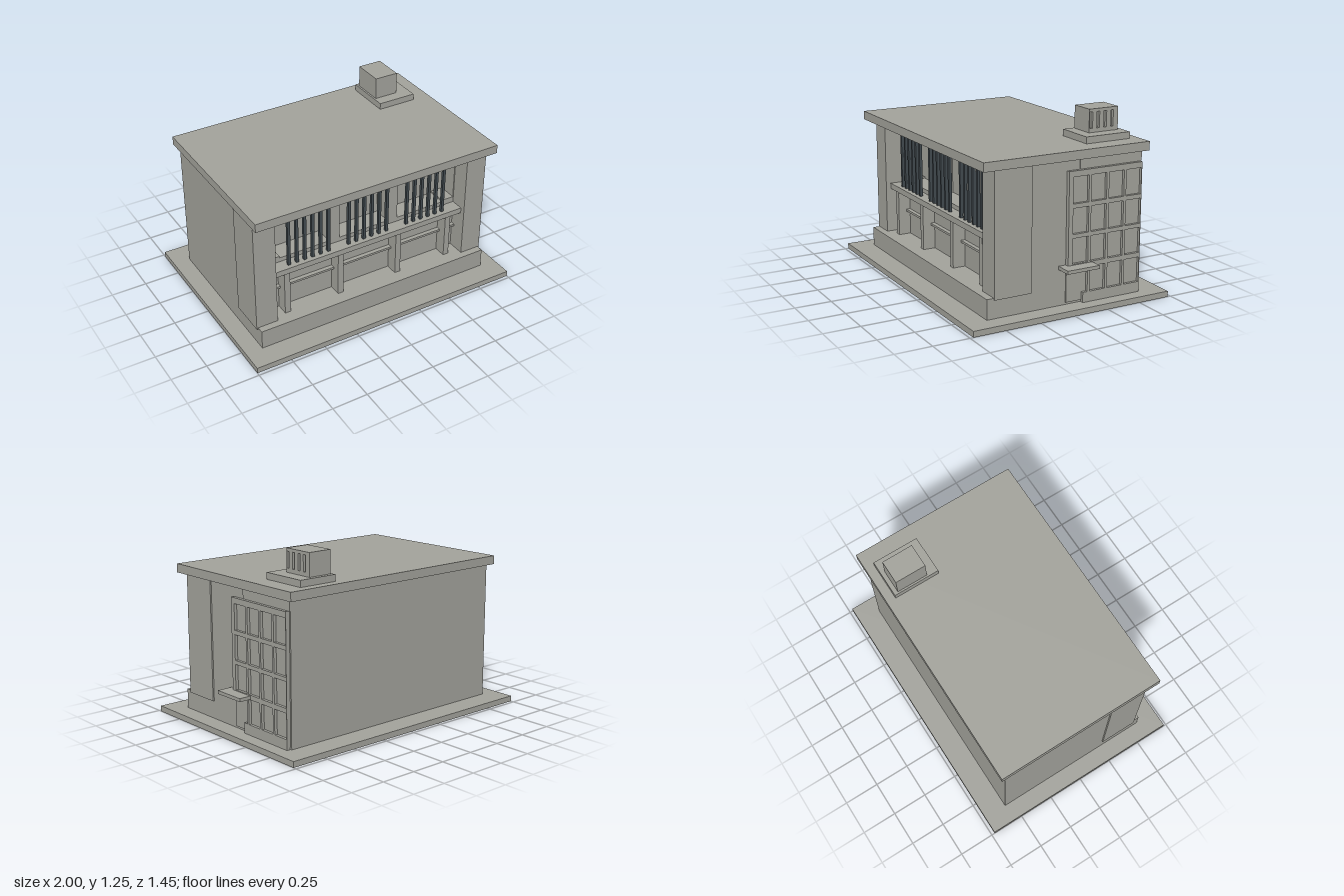
import * as THREE from 'three';

export function createModel() {
  const model = new THREE.Group();
  const stone = new THREE.MeshStandardMaterial({ color: 0xa2a29b });
  stone.name = 'stone grey';
  const iron = new THREE.MeshStandardMaterial({ color: 0x424b50 });
  iron.name = 'dark iron';

  const add = (name, geometry, material = stone) => {
    const mesh = new THREE.Mesh(geometry, material);
    mesh.name = name;
    model.add(mesh);
    return mesh;
  };
  // Box given by its limits on each axis
  const box = (name, x0, x1, y0, y1, z0, z1, material) =>
    add(name, new THREE.BoxGeometry(x1 - x0, y1 - y0, z1 - z0), material)
      .position.set((x0 + x1) / 2, (y0 + y1) / 2, (z0 + z1) / 2);
  const rect = (x0, x1, y0, y1) =>
    [[x0, y0], [x1, y0], [x1, y1], [x0, y1]].map(p => new THREE.Vector2(...p));
  // Plate with rectangular openings, extruded along z
  const plate = (outline, openings, depth) => {
    const shape = new THREE.Shape(outline);
    for (const o of openings) shape.holes.push(new THREE.Path(rect(...o)));
    return new THREE.ExtrudeGeometry(shape, { depth, bevelEnabled: false });
  };
  // The same plate turned to face +x; its horizontal axis runs along -z
  const sidePlate = (name, outline, openings, x, depth) => {
    add(name, plate(outline, openings, depth).rotateY(Math.PI / 2)).position.x = x;
  };

  // Ground slab, building mass and roof
  box('groundSlab', -1, 1, 0, 0.04, -0.727, 0.727);
  box('plinth', -0.88, 0.88, 0.04, 0.175, -0.563, 0.57);
  box('mainBody', -0.88, 0.88, 0.175, 0.99, -0.563, 0.255);
  box('roof', -0.91, 0.91, 0.99, 1.05, -0.605, 0.605);

  // Front corner pillars
  for (const s of [-1, 1]) {
    const [a, b] = [0.735 * s, 0.89 * s].sort((p, q) => p - q);
    box('cornerPillar', a, b, 0.163, 0.99, 0.255, 0.52);
  }

  // Front wall with three window openings
  add('frontWall', plate(rect(-0.735, 0.735, 0.175, 0.99), [
    [-0.73, -0.27, 0.565, 0.95],
    [-0.19, 0.19, 0.565, 0.95],
    [0.265, 0.73, 0.565, 0.95],
  ], 0.135)).position.z = 0.255;
  for (const s of [-1, 1]) {
    const [a, b] = [0.64 * s, 0.73 * s].sort((p, q) => p - q);
    box('sillBlock', a, b, 0.565, 0.577, 0.255, 0.39);
  }

  // Counter, its posts and the foot rail
  box('counter', -0.735, 0.735, 0.495, 0.535, 0.38, 0.485);
  for (const x of [-0.635, -0.23, 0.225, 0.632])
    box('counterPost', x - 0.021, x + 0.021, 0.175, 0.495, 0.39, 0.478);
  box('footRail', -0.735, 0.735, 0.345, 0.36, 0.39, 0.42);

  // Window bars in three groups of six
  for (const start of [-0.603, -0.152, 0.303])
    for (let i = 0; i < 6; i++) {
      const x = start + i * 0.059;
      box('windowBar', x - 0.01, x + 0.01, 0.535, 0.99, 0.435, 0.455, iron);
    }

  // Lattice window on the left side, with a gap in its lower front corner
  box('latticeBacking', 0.88, 0.889, 0.055, 0.92, -0.553, 0);
  const lattice = [
    [0, 0.27], [0.03, 0.27], [0.03, 0.28], [0.148, 0.28], [0.148, 0.11], [0.115, 0.11],
    [0.115, 0.04], [0.553, 0.04], [0.553, 0.922], [0, 0.922],
  ].map(p => new THREE.Vector2(...p));
  const panes = [];
  [[0.11, 0.28], [0.312, 0.483], [0.51, 0.68], [0.709, 0.883]].forEach(([y0, y1], row) => {
    [[0.032, 0.148], [0.167, 0.281], [0.3, 0.414], [0.432, 0.548]].forEach(([u0, u1], col) => {
      if (row || col) panes.push([u0, u1, y0, y1]);
    });
  });
  sidePlate('latticeFrame', lattice, panes, 0.885, 0.024);
  box('latticeHeader', 0.88, 0.886, 0.922, 0.99, -0.563, -0.095);
  box('sideShelf', 0.88, 0.992, 0.283, 0.306, -0.185, 0.053);

  // Chimney with a slotted vent face
  box('chimneyBase', 0.5, 0.78, 1.05, 1.095, -0.54, -0.207);
  box('chimney', 0.513, 0.665, 1.095, 1.25, -0.51, -0.287);
  const slots = [0.293, 0.346, 0.4, 0.452].map(u => [u, u + 0.021, 1.122, 1.23]);
  sidePlate('chimneyVent', rect(0.287, 0.51, 1.095, 1.25), slots, 0.665, 0.02);

  return model;
}
